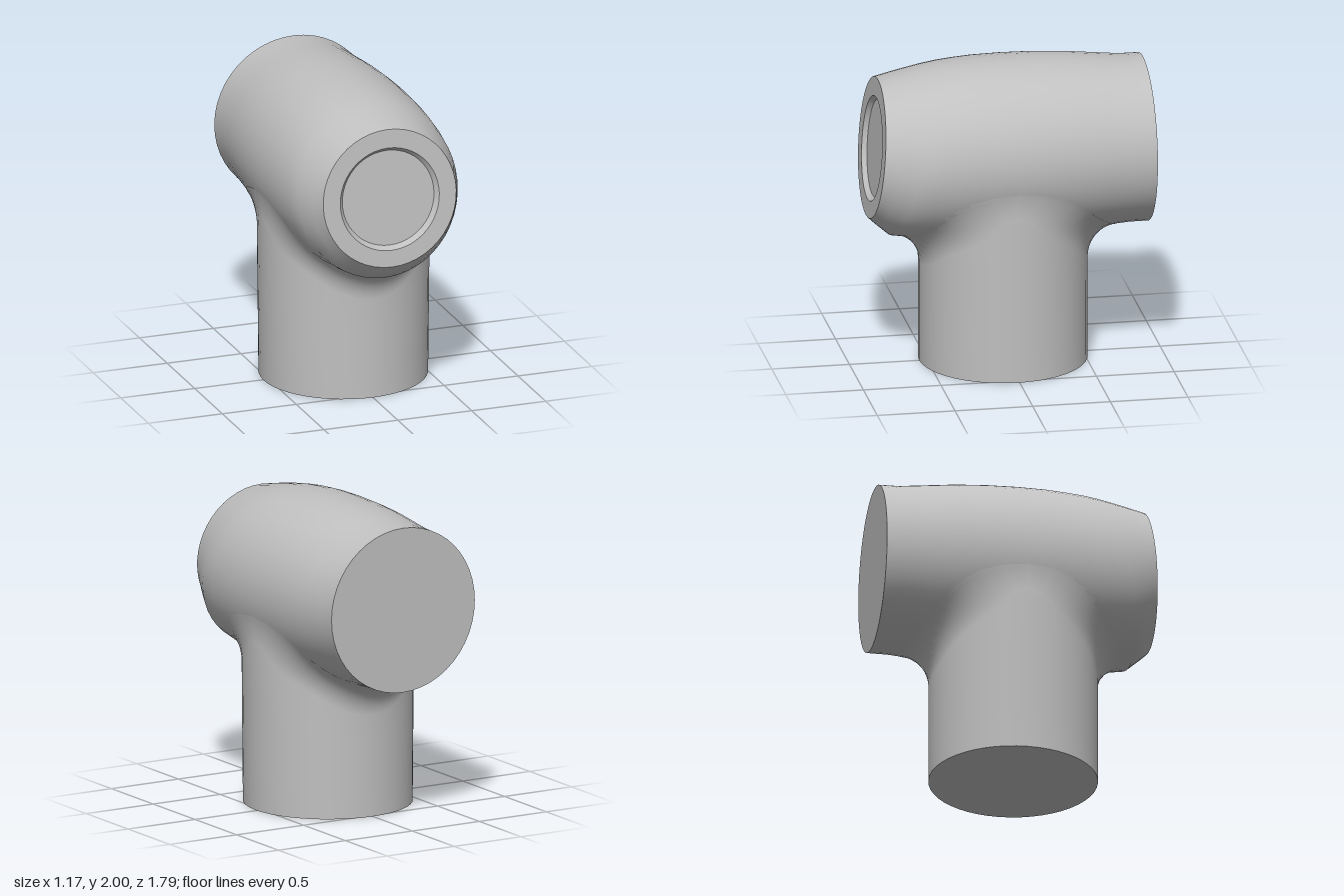
import * as THREE from 'three';

const SEG = 48;
const AXIS_Y = 1.42; // height of the horizontal barrel axis

// Skin a list of closed point rings (arrays of Vector3) into a smooth surface
function loft(rings) {
  const pos = [], idx = [];
  rings.forEach(r => r.forEach(p => pos.push(p.x, p.y, p.z)));
  for (let i = 0; i < rings.length - 1; i++) {
    for (let j = 0; j < SEG; j++) {
      const k = (j + 1) % SEG;
      const a = i * SEG + j, b = i * SEG + k, c = a + SEG, d = b + SEG;
      idx.push(a, b, c, b, d, c);
    }
  }
  return makeGeometry(pos, idx);
}

// Fill one ring with a flat fan
function cap(ring, flip) {
  const centre = new THREE.Vector3();
  ring.forEach(p => centre.addScaledVector(p, 1 / SEG));
  const pos = [...centre.toArray()], idx = [];
  ring.forEach((p, j) => {
    pos.push(p.x, p.y, p.z);
    const a = j + 1, b = (j + 1) % SEG + 1;
    idx.push(0, flip ? b : a, flip ? a : b);
  });
  return makeGeometry(pos, idx);
}

function makeGeometry(pos, idx) {
  const g = new THREE.BufferGeometry();
  g.setAttribute('position', new THREE.Float32BufferAttribute(pos, 3));
  g.setIndex(idx);
  g.computeVertexNormals();
  return g;
}

const loop = fn => Array.from({ length: SEG }, (_, j) => fn(j / SEG * Math.PI * 2));

// Upright ring across z, leaning by slope (dz per dy)
const barrelRing = (z, y, r, slope) => loop(t => new THREE.Vector3(
  r * Math.cos(t), y + r * Math.sin(t), z + slope * r * Math.sin(t)));

// Stem rings, ending in a rolling-ball fillet against the barrel
function stemRings() {
  const R = 0.538, z0 = 0.013, steps = 10, straight = 4;
  const columns = loop(t => {
    const c = Math.cos(t), s = -Math.sin(t);
    const ball = 0.22 + 0.5 * Math.pow(c, 8);
    const cx = (R + ball) * c, cz = z0 + (R + ball) * s;
    const reach = 0.585 - 0.08 * cz * cz + ball;
    const cy = AXIS_Y - Math.sqrt(reach * reach - cx * cx);
    const from = new THREE.Vector3(-c, 0, -s);
    const to = new THREE.Vector3(-cx, AXIS_Y - cy, 0).normalize();
    const pts = [];
    for (let i = 0; i < straight; i++) {
      pts.push(new THREE.Vector3(R * c, cy * i / straight, z0 + R * s));
    }
    const angle = from.angleTo(to);
    for (let i = 0; i <= steps; i++) {
      const f = i / steps;
      const dir = from.clone().multiplyScalar(Math.sin((1 - f) * angle))
        .addScaledVector(to, Math.sin(f * angle)).normalize();
      pts.push(new THREE.Vector3(cx, cy, cz).addScaledVector(dir, ball));
    }
    // slight sideways swell towards the barrel
    pts.forEach((p, i) => {
      const fade = 1 - Math.max(0, i - straight) / steps;
      p.x *= 1 + 0.022 * p.y * fade;
    });
    return pts;
  });
  return columns[0].map((_, i) => columns.map(col => col[i]));
}

export function createModel() {
  const group = new THREE.Group();
  const grey = new THREE.MeshStandardMaterial({ color: 0xc0c0c0 });
  grey.name = 'light grey';
  const add = (name, geometry) => {
    const mesh = new THREE.Mesh(geometry, grey);
    mesh.name = name;
    group.add(mesh);
  };

  // Horizontal barrel: z, centre y, radius, slope
  const barrel = [
    [-0.89, 1.415, 0.535, 0], [-0.76, 1.415, 0.536, 0], [-0.6, 1.417, 0.55, 0],
    [-0.4, 1.419, 0.568, 0], [-0.2, 1.419, 0.579, 0], [0, 1.417, 0.584, 0],
    [0.2, 1.416, 0.581, -0.03], [0.35, 1.415, 0.573, -0.08],
    [0.5, 1.417, 0.56, -0.16], [0.635, 1.422, 0.54, -0.245],
    [0.76, 1.438, 0.49, -0.17], [0.855, 1.447, 0.45, -0.089],
  ].map(r => barrelRing(...r));
  add('barrel', loft(barrel));
  add('barrelBackFace', cap(barrel[0], true));

  // Tilted front face with a shallow bevelled recess
  const rim = barrel[barrel.length - 1];
  const recessEdge = barrelRing(0.8555, 1.441, 0.335, -0.089);
  const recessFloor = barrelRing(0.8255, 1.441, 0.31, -0.089);
  add('frontRim', loft([rim, recessEdge]));
  add('recessBevel', loft([recessEdge, recessFloor]));
  add('recessFloor', cap(recessFloor, false));

  // Vertical stem with blended joint
  const stem = stemRings();
  add('stem', loft(stem));
  add('stemBase', cap(stem[0], true));

  return group;
}
